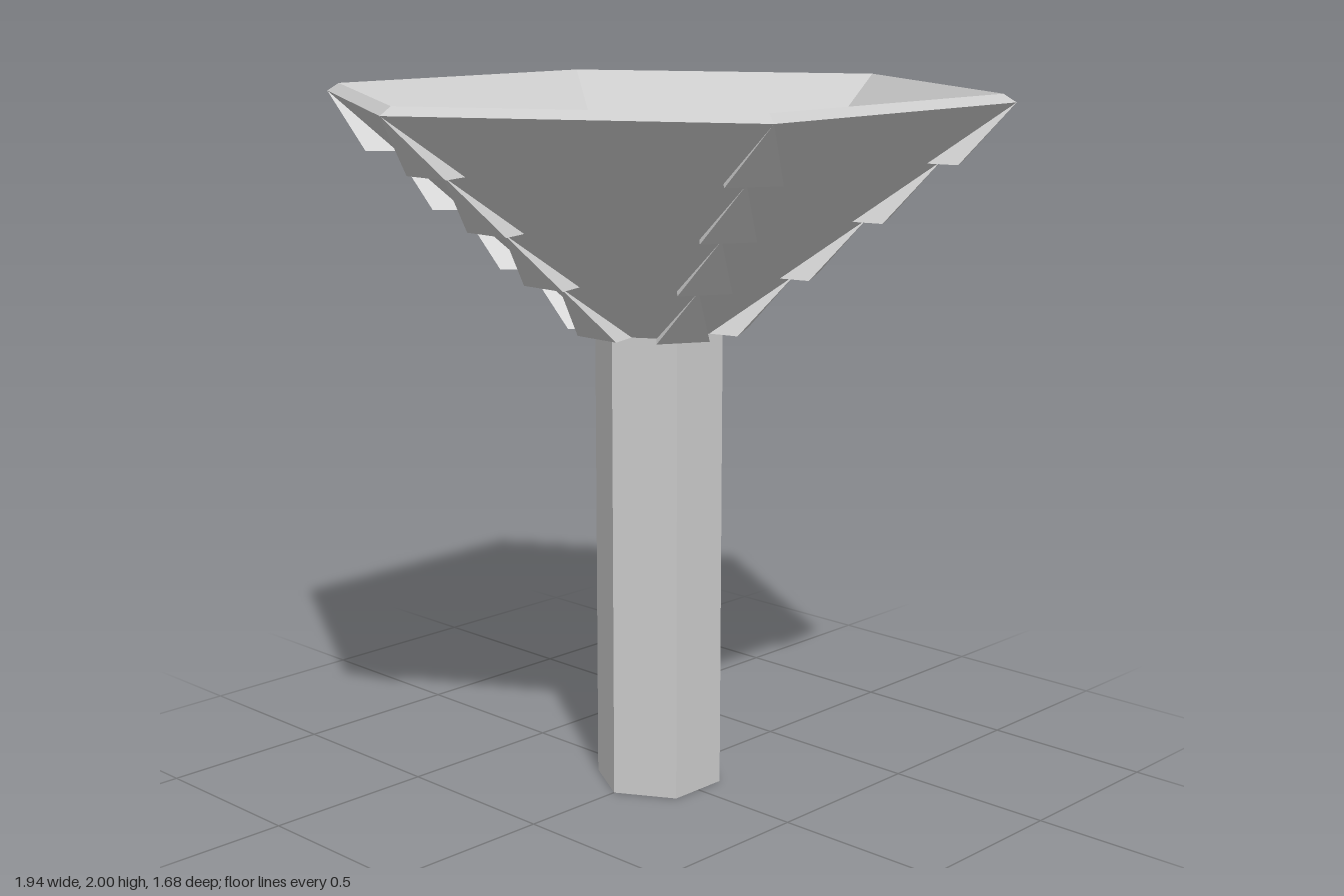
import * as THREE from 'three';
import { ConvexGeometry } from 'three/addons/geometries/ConvexGeometry.js';

const SIDES = 6;
const RINGS = 4;

// Faceted copy of a geometry, with one normal per face
function faceted(geometry) {
  const flat = geometry.toNonIndexed();
  flat.computeVertexNormals();
  return flat;
}

export function createModel() {
  const model = new THREE.Group();
  model.name = 'hexagonalBowlOnColumn';
  const stone = new THREE.MeshStandardMaterial({ color: 0xcccccc });
  stone.name = 'grey stone';

  const add = (name, geometry, parent = model) => {
    const mesh = new THREE.Mesh(geometry, stone);
    mesh.name = name;
    parent.add(mesh);
    return mesh;
  };

  // Six-sided column with corners on the x axis
  const columnHeight = 1.335;
  const column = add('column', faceted(
    new THREE.CylinderGeometry(0.184, 0.184, columnHeight, SIDES, 1, false, Math.PI / 6)));
  column.position.y = columnHeight / 2;

  // Hollow bowl: underside, outer wall, bevelled rim, inner wall, floor
  const profile = [
    [0, 1.335], [0.186, 1.335], [0.97, 1.978], [0.935, 2], [0.155, 1.357], [0, 1.357],
  ].map(([r, y]) => new THREE.Vector2(r, y));
  add('bowl', faceted(new THREE.LatheGeometry(profile, SIDES, Math.PI / 6)));

  // Wedge stud: apex on the bowl's corner edge, widening to a flat bottom
  const dr = (0.97 - 0.186) / RINGS;
  const dy = (1.978 - 1.335) / RINGS;
  const points = [new THREE.Vector3(0, 0, 0)];
  for (const s of [-1, 1]) {
    points.push(new THREE.Vector3(-0.14, -dy, s * 0.075));
    points.push(new THREE.Vector3(-dr - 0.029, -dy, s * 0.05));
  }
  const wedge = new ConvexGeometry(points);

  // Four studs stepping down each corner edge
  for (let k = 0; k < SIDES; k++) {
    const ridge = new THREE.Group();
    ridge.name = 'cornerStuds';
    ridge.rotation.y = k * Math.PI / 3;
    for (let i = 0; i < RINGS; i++) {
      add('stud', wedge, ridge).position.set(0.97 - i * dr, 1.978 - i * dy, 0);
    }
    model.add(ridge);
  }
  return model;
}
